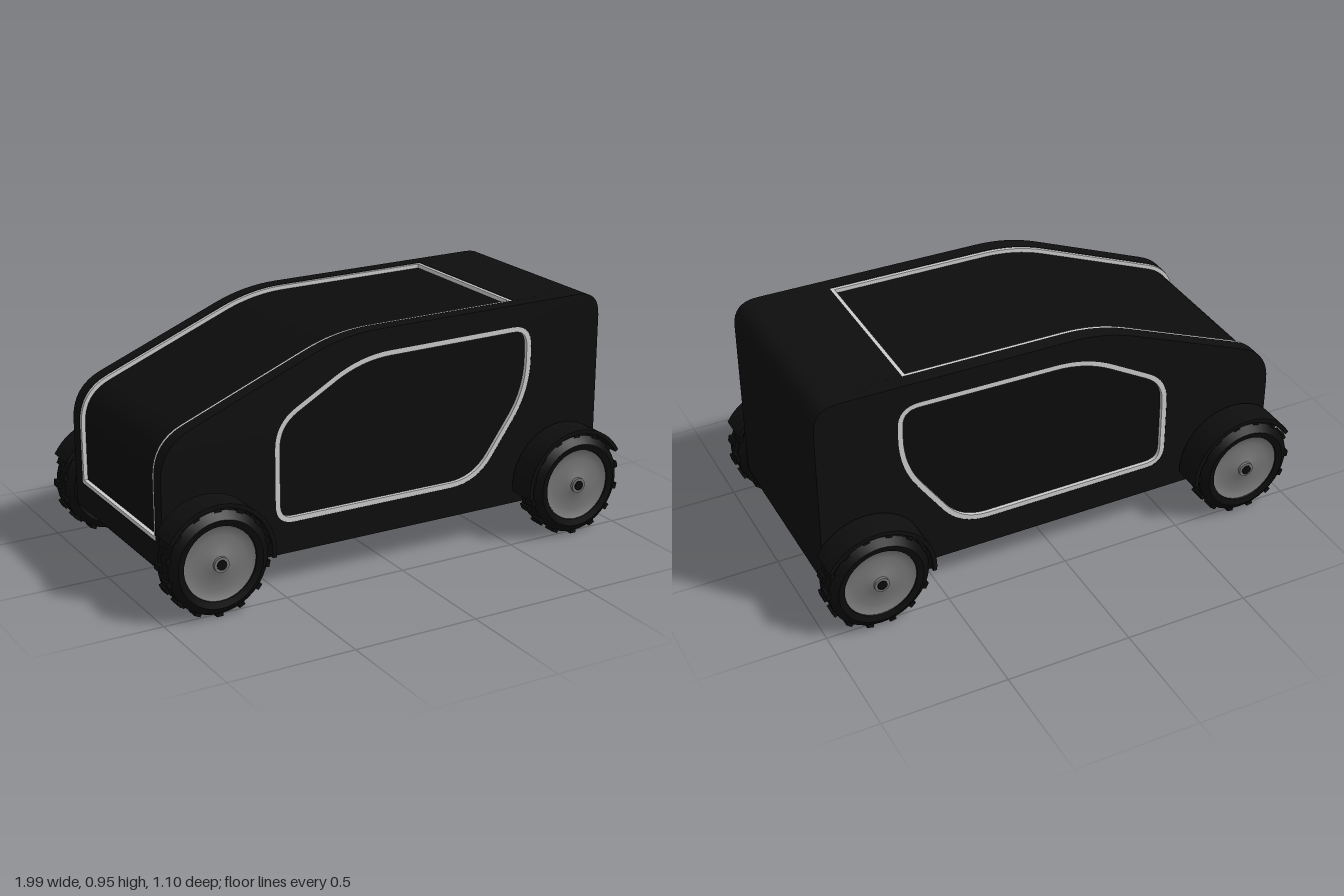
import * as THREE from 'three';
import { toCreasedNormals } from 'three/addons/utils/BufferGeometryUtils.js';

const paint = (name, color, side = THREE.FrontSide) => {
  const m = new THREE.MeshStandardMaterial({ color, side });
  m.name = name;
  return m;
};

export function createModel() {
  const car = new THREE.Group();
  car.name = 'car';
  const black = paint('bodyBlack', 0x0e0e0e);
  const glass = paint('darkGlass', 0x0c0c0c);
  const rubber = paint('rubber', 0x0b0b0b);
  const silver = paint('silverTrim', 0xcccccc);
  const metal = paint('hubGrey', 0x757575, THREE.DoubleSide);

  const add = (parent, name, geo, mat) => {
    const mesh = new THREE.Mesh(geo, mat);
    mesh.name = name;
    parent.add(mesh);
    return mesh;
  };
  // Counter-clockwise polygon with rounded corners: [x, y, radius], nine points per corner
  const rounded = (corners) => corners.flatMap(([x, y, r], i) => {
    const n = corners.length;
    const c = new THREE.Vector2(x, y);
    const toward = ([px, py]) => new THREE.Vector2(px - x, py - y).setLength(r).add(c);
    return new THREE.QuadraticBezierCurve(toward(corners[(i + n - 1) % n]), c,
      toward(corners[(i + 1) % n])).getPoints(8);
  });
  // Move a line of points inward (to its left) by d
  const inset = (pts, d, closed) => pts.map((p, i) => {
    const n = pts.length;
    const a = closed ? pts[(i + n - 1) % n] : pts[Math.max(i - 1, 0)];
    const b = closed ? pts[(i + 1) % n] : pts[Math.min(i + 1, n - 1)];
    const t = b.clone().sub(a).normalize();
    return new THREE.Vector2(p.x - t.y * d, p.y + t.x * d);
  });
  // Extrude an outline between two z positions
  const slab = (pts, z0, z1, hole) => {
    const shape = new THREE.Shape(pts);
    if (hole) shape.holes.push(new THREE.Path(hole));
    const geo = new THREE.ExtrudeGeometry(shape, { depth: z1 - z0, bevelEnabled: false });
    return toCreasedNormals(geo.translate(0, 0, z0), 0.5);
  };
  const box = (x0, x1, y0, y1, z0, z1) => new THREE.BoxGeometry(x1 - x0, y1 - y0, z1 - z0)
    .translate((x0 + x1) / 2, (y0 + y1) / 2, (z0 + z1) / 2);

  // Side outline of the body, and the roof-to-nose line that holds the windscreen
  const outline = rounded([[-0.95, 0.13, 0.05], [0.96, 0.13, 0.06], [0.96, 0.95, 0.1],
    [-0.2, 0.94, 0.14], [-0.95, 0.635, 0.13]]);
  const roof = [new THREE.Vector2(0.59, 0.947), ...outline.slice(27), new THREE.Vector2(-0.95, 0.26)];
  const sunken = inset(roof, 0.022, false);
  const windowLine = rounded([[-0.49, 0.25, 0.08], [0.4, 0.25, 0.12], [0.64, 0.59, 0.13],
    [0.64, 0.86, 0.09], [-0.13, 0.85, 0.13], [-0.49, 0.645, 0.1]]);

  // Middle of the body, lowered along the windscreen
  add(car, 'bodyCore', slab([...outline.slice(0, 27), roof[0], ...sunken, roof[roof.length - 1]],
    -0.34, 0.34), black);
  add(car, 'windscreen', slab([...inset(roof, 0.018, false), ...inset(roof, 0.023, false).reverse()],
    -0.325, 0.325), glass);
  add(car, 'windscreenRearTrim', box(0.575, 0.59, 0.92, 0.945, -0.34, 0.34), silver);
  add(car, 'windscreenFrontTrim', box(-0.948, -0.925, 0.26, 0.275, -0.34, 0.34), silver);

  const screenTrim = [...inset(roof, 0.002, false), ...inset(roof, 0.023, false).reverse()];
  for (const s of [1, -1]) {
    const span = (a, b) => (s > 0 ? [a, b] : [-b, -a]);
    const side = new THREE.Group();
    side.name = s > 0 ? 'frontSide' : 'backSide';
    car.add(side);
    add(side, 'roofRail', slab(outline, ...span(0.34, 0.38)), black);
    add(side, 'sidePanel', slab(outline, ...span(0.38, 0.4), windowLine), black);
    add(side, 'sideWindow', slab(inset(windowLine, 0.015, true), ...span(0.379, 0.384)), glass);
    add(side, 'windowTrim', slab(windowLine, ...span(0.379, 0.399), inset(windowLine, 0.02, true)), silver);
    add(side, 'windscreenSideTrim', slab(screenTrim, ...span(0.326, 0.34)), silver);
  }

  // Lathe turned about the wheel axle (z)
  const turned = (pts, segments) => toCreasedNormals(
    new THREE.LatheGeometry(pts.map(([r, z]) => new THREE.Vector2(r, z)), segments)
      .rotateX(Math.PI / 2).toNonIndexed(), 0.6);
  const tyreGeo = turned([[0.14, -0.05], [0.145, -0.062], [0.17, -0.068], [0.2, -0.045],
    [0.2, 0.045], [0.17, 0.068], [0.145, 0.062], [0.14, 0.05]], 40);
  const hubGeo = turned([[0, 0.062], [0.025, 0.062], [0.04, 0.056], [0.07, 0.05],
    [0.105, 0.047], [0.13, 0.051], [0.147, 0.06]], 40);
  const capGeo = new THREE.CylinderGeometry(0.03, 0.03, 0.016, 20).rotateX(Math.PI / 2);
  const boltGeo = new THREE.CylinderGeometry(0.02, 0.02, 0.006, 12).rotateX(Math.PI / 2);
  const lugGeo = new THREE.BoxGeometry(0.026, 0.034, 0.05);

  for (const sx of [1, -1]) for (const sz of [1, -1]) {
    const wheel = new THREE.Group();
    wheel.name = (sz > 0 ? 'front' : 'back') + (sx > 0 ? 'Left' : 'Right') + 'Wheel';
    wheel.position.set(sx * 0.787, 0.211, sz * 0.475);
    car.add(wheel);
    add(wheel, 'tyre', tyreGeo, rubber).material.side = THREE.DoubleSide;
    // Hub dish on both faces
    for (const f of [1, -1]) {
      const hub = new THREE.Group();
      hub.name = f > 0 ? 'outerHub' : 'innerHub';
      hub.rotation.y = f > 0 ? 0 : Math.PI;
      wheel.add(hub);
      add(hub, 'hubDish', hubGeo, metal);
      add(hub, 'hubCap', capGeo, metal).position.z = 0.064;
      add(hub, 'hubBolt', boltGeo, rubber).position.z = 0.072;
    }
    // Tread lugs, staggered between the two shoulders
    for (let i = 0; i < 28; i++) {
      const a = (i / 28) * Math.PI * 2;
      const lug = add(wheel, 'treadLug', lugGeo, rubber);
      lug.position.set(Math.cos(a) * 0.193, Math.sin(a) * 0.193, i % 2 ? 0.024 : -0.024);
      lug.rotation.z = a - Math.PI / 2;
    }
    // Mudguard over the top, reaching lower on the inner side
    const a0 = sx > 0 ? Math.PI / 6 : -0.1;
    const a1 = sx > 0 ? Math.PI + 0.1 : Math.PI * 5 / 6;
    const arc = (r) => Array.from({ length: 25 }, (_, i) => {
      const a = a0 + (a1 - a0) * i / 24;
      return new THREE.Vector2(Math.cos(a) * r, Math.sin(a) * r);
    });
    add(wheel, 'mudguard', slab([...arc(0.228), ...arc(0.212).reverse()], -0.058, 0.062), black);
  }
  return car;
}
